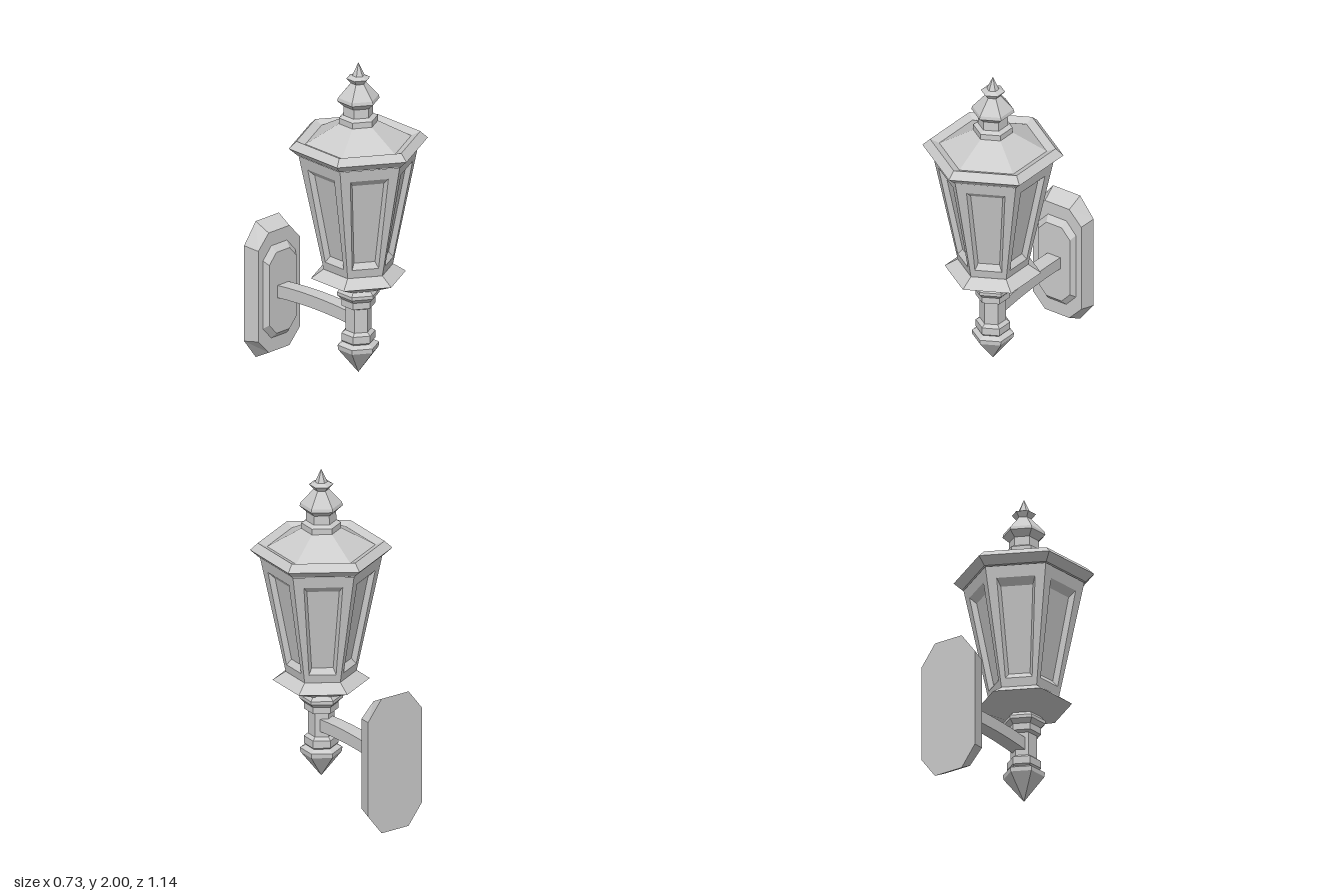
import * as THREE from 'three';
import { mergeGeometries } from 'three/addons/utils/BufferGeometryUtils.js';

const material = new THREE.MeshStandardMaterial({ color: 0xcccccc, flatShading: true });

function add(group, name, geometry) {
  const mesh = new THREE.Mesh(geometry, material);
  mesh.name = name;
  group.add(mesh);
  return mesh;
}

// Six-sided turned part from [radius, y] pairs, bottom to top
const hexTurned = (profile) =>
  new THREE.LatheGeometry(profile.map(([r, y]) => new THREE.Vector2(r, y)), 6);

// Skin over matching counter-clockwise rings, closed at the last (and optionally first) ring
function loft(rings, capStart = false) {
  const out = [];
  const n = rings[0].length;
  const tri = (...pts) => pts.forEach((p) => out.push(...p));
  for (let k = 0; k + 1 < rings.length; k++) {
    const a = rings[k], b = rings[k + 1];
    for (let i = 0; i < n; i++) {
      const j = (i + 1) % n;
      tri(a[i], a[j], b[j]);
      tri(a[i], b[j], b[i]);
    }
  }
  const first = rings[0], last = rings[rings.length - 1];
  for (let i = 1; i + 1 < n; i++) {
    tri(last[0], last[i], last[i + 1]);
    if (capStart) tri(first[0], first[i + 1], first[i]);
  }
  const geometry = new THREE.BufferGeometry();
  geometry.setAttribute('position', new THREE.Float32BufferAttribute(out, 3));
  geometry.computeVertexNormals();
  return geometry;
}

// Tapered lantern wall with a recessed window
const Y0 = 0.73, Y1 = 1.45, R0 = 0.203, R1 = 0.352;
const wallRadius = (y) => R0 + ((R1 - R0) * (y - Y0)) / (Y1 - Y0);

function windowWall() {
  const ring = (y0, w0, y1, w1, depth) => {
    const z = (y) => wallRadius(y) * Math.cos(Math.PI / 6) - depth;
    return [[-w0, y0, z(y0)], [w0, y0, z(y0)], [w1, y1, z(y1)], [-w1, y1, z(y1)]];
  };
  return loft([
    ring(Y0, R0 / 2, Y1, R1 / 2, 0),
    ring(0.79, 0.078, 1.38, 0.112, 0),
    ring(0.825, 0.062, 1.34, 0.093, 0.03),
  ]);
}

// Elongated octagon for the wall plate
function octagon(w, y0, y1, cutX, cutY, z) {
  return [
    [-w + cutX, y0, z], [w - cutX, y0, z], [w, y0 + cutY, z], [w, y1 - cutY, z],
    [w - cutX, y1, z], [-w + cutX, y1, z], [-w, y1 - cutY, z], [-w, y0 + cutY, z],
  ];
}

export function createModel() {
  const model = new THREE.Group();
  model.name = 'wallLantern';

  const lantern = new THREE.Group();
  lantern.name = 'lantern';
  lantern.position.z = 0.16;
  lantern.rotation.y = -0.05;
  model.add(lantern);

  // Post with pointed drop and collars
  add(lantern, 'post', hexTurned([
    [0, 0.085], [0.12, 0.235], [0.122, 0.262], [0.09, 0.28], [0.1, 0.29], [0.1, 0.335],
    [0.077, 0.352], [0.077, 0.495], [0.1, 0.505], [0.1, 0.545], [0.125, 0.57],
    [0.125, 0.59], [0.1, 0.615], [0.1, 0.64],
  ]));

  // Flared tray under the windows
  add(lantern, 'tray', hexTurned([
    [0, 0.615], [0.115, 0.615], [0.28, 0.687], [0.205, 0.738], [0, 0.738],
  ]));

  // Six window walls
  const walls = [];
  for (let k = 0; k < 6; k++) walls.push(windowWall().rotateY(Math.PI / 6 + (k * Math.PI) / 3));
  add(lantern, 'windows', mergeGeometries(walls));

  // Roof with raised rim
  add(lantern, 'roof', hexTurned([
    [0, 1.45], [0.36, 1.455], [0.41, 1.5], [0.365, 1.542], [0.312, 1.52], [0.115, 1.63],
  ]));

  // Finial
  add(lantern, 'finial', hexTurned([
    [0.115, 1.625], [0.115, 1.665], [0.088, 1.68], [0.086, 1.735], [0.125, 1.77],
    [0.12, 1.79], [0.058, 1.86], [0.045, 1.875], [0.07, 1.905], [0.036, 1.92], [0, 2],
  ]));

  // Slightly arched arm
  const arm = new THREE.BoxGeometry(0.09, 0.076, 0.58, 1, 1, 6);
  const p = arm.attributes.position;
  for (let i = 0; i < p.count; i++) {
    p.setY(i, p.getY(i) + 0.014 * (1 - (p.getZ(i) / 0.29) ** 2));
  }
  arm.computeVertexNormals();
  add(model, 'arm', arm).position.set(0, 0.424, -0.175);

  // Two-tier bevelled wall plate
  add(model, 'wallPlate', loft([
    octagon(0.19, 0, 0.84, 0.095, 0.125, -0.575),
    octagon(0.17, 0.05, 0.79, 0.085, 0.09, -0.48),
    octagon(0.132, 0.135, 0.705, 0.068, 0.075, -0.48),
    octagon(0.112, 0.17, 0.67, 0.058, 0.065, -0.448),
  ], true));

  return model;
}
